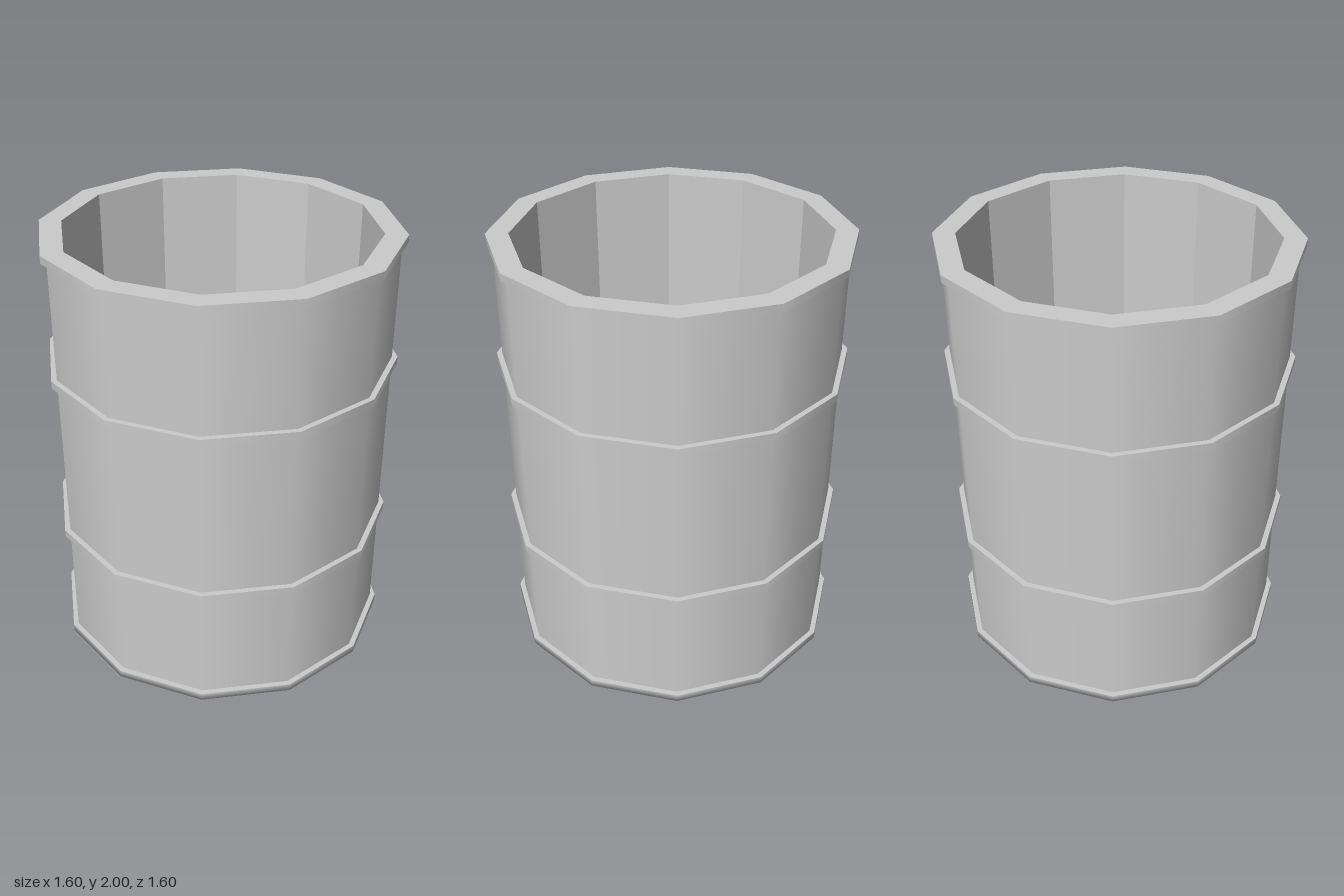
import * as THREE from 'three';
import { mergeGeometries } from 'three/addons/utils/BufferGeometryUtils.js';

const SIDES = 12;
const OUTER = 0.8, BODY = 0.775, INNER = 0.7;
const HEIGHT = 2, BAND = 0.035, FLOOR_Y = 0.06;

const lathe = (points) => {
  const geometry = new THREE.LatheGeometry(points.map(([r, y]) => new THREE.Vector2(r, y)), SIDES);
  geometry.normalizeNormals();
  return geometry;
};

// Smooth around the axis, with a hard edge at every profile corner
const creasedLathe = (points) =>
  mergeGeometries(points.slice(1).map((p, i) => lathe([points[i], p])));

export function createModel() {
  const group = new THREE.Group();
  group.name = 'barrel';
  const smooth = new THREE.MeshStandardMaterial({ color: 0xcccccc });
  const faceted = new THREE.MeshStandardMaterial({ color: 0xcccccc, flatShading: true });
  const thin = new THREE.MeshStandardMaterial({ color: 0xcccccc, side: THREE.DoubleSide });

  const add = (name, geometry, material = smooth) => {
    const mesh = new THREE.Mesh(geometry, material);
    mesh.name = name;
    group.add(mesh);
    return mesh;
  };

  // Outer wall
  add('outerWall', lathe([[BODY, BAND], [BODY, HEIGHT - BAND]]));

  // Inner wall, running downward so that it faces the axis
  add('innerWall', lathe([[INNER, HEIGHT], [INNER, 0]]), faceted);

  // Two raised hoops around the body
  for (const [name, y] of [['lowerHoop', 0.585], ['upperHoop', 1.385]]) {
    add(name, creasedLathe([[BODY, y], [OUTER, y], [OUTER, y + BAND], [BODY, y + BAND]]));
  }

  // Top rim with its flat lip
  add('topRim', creasedLathe([
    [BODY, HEIGHT - BAND], [OUTER, HEIGHT - BAND], [OUTER, HEIGHT], [INNER, HEIGHT],
  ]));

  // Bottom rim, softly shaded from its underside to its outer face
  add('bottomRim', lathe([[INNER, 0], [OUTER, 0], [OUTER, BAND]]));
  add('bottomRimLedge', lathe([[OUTER, BAND], [BODY, BAND]]));

  // Recessed floor, seen from above and below
  const floor = new THREE.CircleGeometry(INNER, SIDES).rotateX(-Math.PI / 2);
  add('floor', floor, thin).position.y = FLOOR_Y;

  return group;
}
